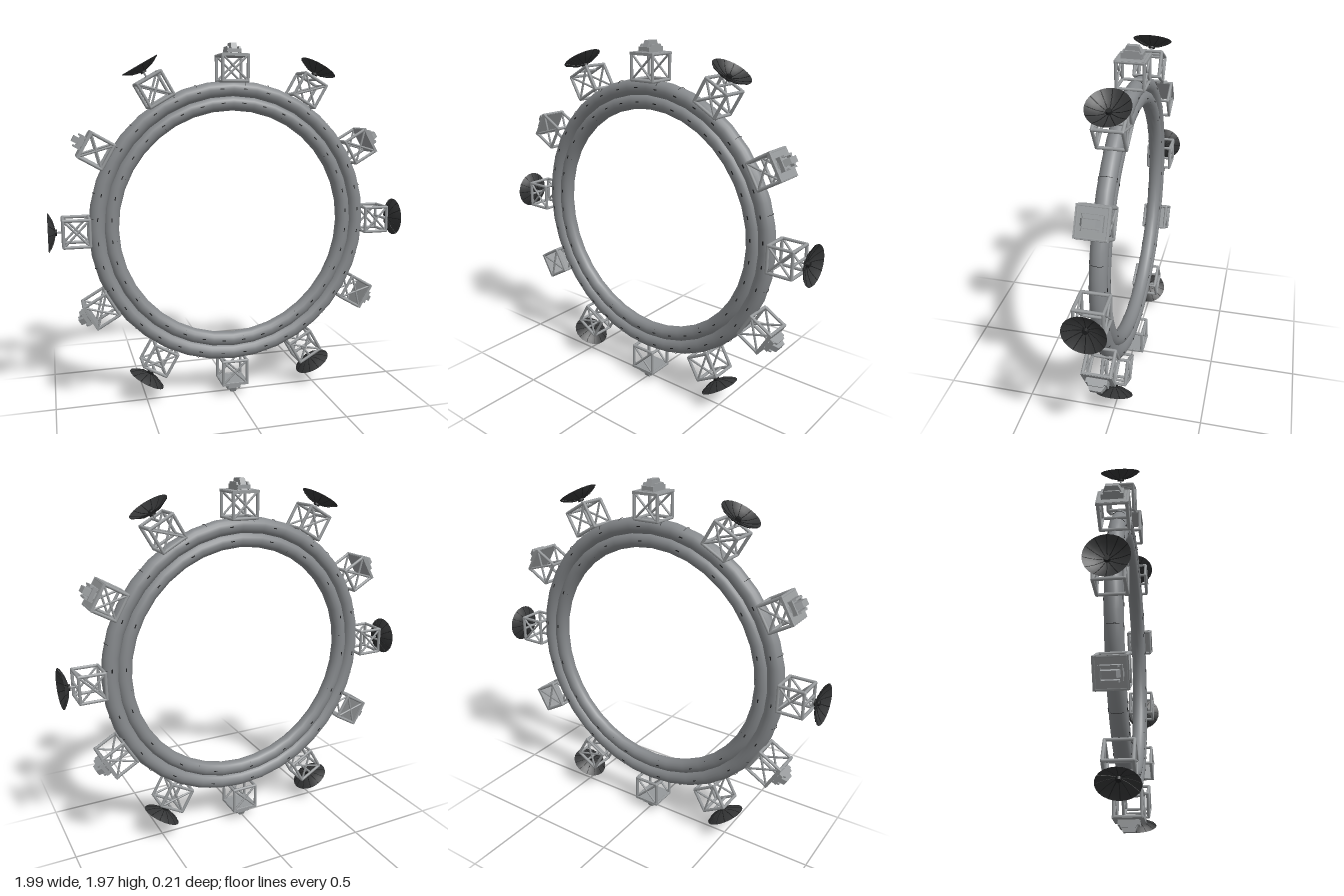
import * as THREE from 'three';

const mat = (name, color, side = THREE.FrontSide) => {
  const m = new THREE.MeshStandardMaterial({ color, side });
  m.name = name;
  return m;
};

export function createModel() {
  const ringGray = mat('ring gray', 0x85888b);
  const trussGray = mat('truss gray', 0x96999b);
  const dark = mat('dish charcoal', 0x343536, THREE.DoubleSide);
  const seamBlack = mat('seam black', 0x1c1d1e);

  const model = new THREE.Group();
  model.name = 'ringStation';
  const station = new THREE.Group();
  station.name = 'station';
  station.position.y = 0.99;
  model.add(station);

  const add = (parent, name, geometry, material, x = 0, y = 0, z = 0) => {
    const m = new THREE.Mesh(geometry, material);
    m.name = name;
    m.position.set(x, y, z);
    parent.add(m);
    return m;
  };
  // round bar between two points
  const bar = (parent, name, a, b, r, material = trussGray) => {
    const p = new THREE.Vector3(...a), q = new THREE.Vector3(...b);
    const d = q.clone().sub(p);
    const m = add(parent, name, new THREE.CylinderGeometry(r, r, d.length(), 8), material);
    m.position.copy(p).add(q).multiplyScalar(0.5);
    m.quaternion.setFromUnitVectors(new THREE.Vector3(0, 1, 0), d.normalize());
    return m;
  };

  // twin ring tubes with thin joint seams
  const tubes = [['outerRing', 0.745, 0.044, 0], ['innerRing', 0.67, 0.041, Math.PI]];
  for (const [name, R, r, facing] of tubes) {
    add(station, name, new THREE.TorusGeometry(R, r, 16, 36), ringGray);
    const seam = new THREE.TorusGeometry(r, 0.0012, 4, 8, 1.5);
    for (let i = 0; i < 36; i++) {
      const joint = new THREE.Group();
      joint.name = name + 'Joint';
      joint.rotation.z = (i + 0.5) * Math.PI / 18;
      station.add(joint);
      // seam arc on the exposed side of the tube
      const arc = add(joint, 'seam', seam, seamBlack, R);
      arc.rotation.set(Math.PI / 2, 0, facing - 0.75 + (i % 3 - 1) * 0.35);
      // small slots on front and back
      for (const s of [-1, 1])
        if (i % 2 === 0 || s > 0)
          add(joint, 'slot', new THREE.BoxGeometry(0.005, 0.02, 0.003), seamBlack, R, 0, s * r);
    }
  }

  // open cubic frame, +y pointing away from the ring centre
  const H = 0.07, Y0 = 0.785, Y1 = 0.92, B = 0.0085;
  const buildTruss = (parent) => {
    const truss = new THREE.Group();
    truss.name = 'trussFrame';
    parent.add(truss);
    for (const s of [-1, 1]) {
      for (const y of [Y0, Y1]) {
        bar(truss, 'tangentBar', [-H, y, s * H], [H, y, s * H], B);
        bar(truss, 'depthBar', [s * H, y, -H], [s * H, y, H], B);
        for (const x of [-H, H])
          add(truss, 'corner', new THREE.SphereGeometry(B, 8, 6), trussGray, x, y, s * H);
      }
      for (const x of [-H, H]) bar(truss, 'radialBar', [x, Y0, s * H], [x, Y1, s * H], B);
      // crossed braces on front and back
      bar(truss, 'brace', [-H, Y0, s * H], [H, Y1, s * H], 0.006);
      bar(truss, 'brace', [H, Y0, s * H], [-H, Y1, s * H], 0.006);
    }
  };

  // shallow dish, hollow side outward, with ribs
  const dishAt = t => new THREE.Vector2(0.107 * t, 0.96 + 0.037 * t * t);
  const dishGeo = new THREE.LatheGeometry([0.03, 0.25, 0.5, 0.75, 1].map(dishAt), 24);
  const buildDish = (parent) => {
    const dish = new THREE.Group();
    dish.name = 'dishAntenna';
    parent.add(dish);
    add(dish, 'dishBowl', dishGeo, dark);
    for (let i = 0; i < 12; i++) {
      const a = i * Math.PI / 6;
      const pts = [0.1, 0.55, 0.98].map(t => {
        const p = dishAt(t);
        return new THREE.Vector3(p.x * Math.cos(a), p.y, p.x * Math.sin(a));
      });
      const curve = new THREE.CatmullRomCurve3(pts);
      add(dish, 'dishRib', new THREE.TubeGeometry(curve, 4, 0.0022, 4), seamBlack);
    }
    add(dish, 'dishHub', new THREE.CylinderGeometry(0.013, 0.018, 0.026, 10), seamBlack, 0, 0.964);
    bar(dish, 'dishStem', [0, Y1, 0], [0, 0.957, 0], 0.005);
    bar(dish, 'mountBar', [0, Y1, -H], [0, Y1, H], 0.007);
  };

  // trapezoid plate in the radial/depth plane, centred on x
  const fin = (parent, name, x, width, base, tip, top) => {
    const s = new THREE.Shape([[-base, Y1], [base, Y1], [tip, top], [-tip, top]]
      .map(p => new THREE.Vector2(...p)));
    const g = new THREE.ExtrudeGeometry(s, { depth: width, bevelEnabled: false });
    g.translate(0, 0, -width / 2).rotateY(Math.PI / 2);
    add(parent, name, g, trussGray, x);
  };
  const buildDock = (parent) => {
    const dock = new THREE.Group();
    dock.name = 'dockingHead';
    parent.add(dock);
    add(dock, 'outerPlate', new THREE.BoxGeometry(0.152, 0.014, 0.16), trussGray, 0, Y1);
    fin(dock, 'centerBlock', 0, 0.032, 0.062, 0.03, 0.985);
    for (const s of [-1, 1]) {
      fin(dock, 'sideFin', s * 0.032, 0.01, 0.058, 0.036, 0.966);
      add(dock, 'endCrossbar', new THREE.BoxGeometry(0.072, 0.022, 0.014), trussGray, 0, 0.942, s * 0.048);
    }
  };

  // twelve modules, dishes and docking heads alternating
  for (let i = 0; i < 12; i++) {
    const module = new THREE.Group();
    module.name = i % 2 ? 'dockingModule' : 'dishModule';
    module.rotation.z = i * Math.PI / 6 - Math.PI / 2;
    station.add(module);
    buildTruss(module);
    (i % 2 ? buildDock : buildDish)(module);
  }
  return model;
}
